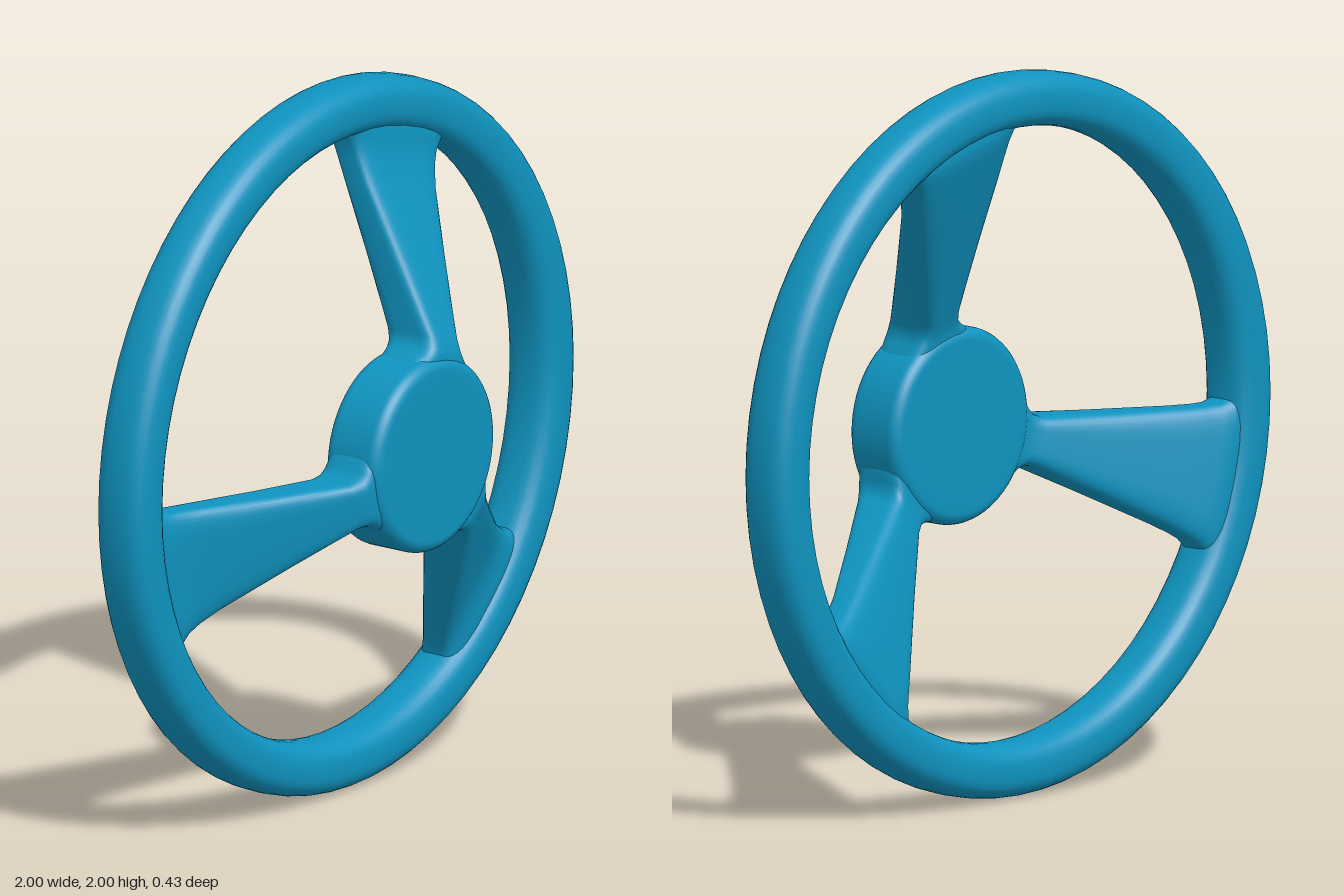
import * as THREE from 'three';

const material = new THREE.MeshStandardMaterial({ color: 0x0f93bf });

// Skin a list of equal-length closed loops of points with smooth normals
function loft(rings, closed) {
  const n = rings[0].length, m = rings.length, index = [];
  for (let i = 0; i < (closed ? m : m - 1); i++) {
    for (let j = 0; j < n; j++) {
      const a = i * n + j, b = ((i + 1) % m) * n + j;
      const c = ((i + 1) % m) * n + (j + 1) % n, d = i * n + (j + 1) % n;
      index.push(a, b, c, a, c, d);
    }
  }
  const geometry = new THREE.BufferGeometry();
  geometry.setAttribute('position', new THREE.Float32BufferAttribute(rings.flat(2), 3));
  geometry.setIndex(index);
  geometry.computeVertexNormals();
  return geometry;
}

// Rounded-square section: pairs within -1..1
function section(count, power) {
  return Array.from({ length: count }, (_, i) => {
    const a = (i / count) * Math.PI * 2;
    const f = v => Math.sign(v) * Math.abs(v) ** (2 / power);
    return [f(Math.cos(a)), f(Math.sin(a))];
  });
}

function rimGeometry() {
  const rings = [];
  for (let i = 0; i < 72; i++) {
    const a = (i / 72) * Math.PI * 2;
    rings.push(section(28, 2.7).map(([u, v]) => {
      const r = 0.923 + 0.075 * u;
      return [r * Math.cos(a), r * Math.sin(a), -0.132 + 0.083 * v];
    }));
  }
  return loft(rings, true);
}

// Spoke along +x: [radius, half width, front z, back z], flared at both ends
function spokeGeometry() {
  const stations = [
    [0.20, 0.150, 0.200, 0.040],
    [0.25, 0.112, 0.204, 0.036],
    [0.27, 0.090, 0.204, 0.034],
    [0.29, 0.074, 0.200, 0.028],
    [0.32, 0.070, 0.186, 0.016],
    [0.50, 0.113, 0.086, -0.060],
    [0.70, 0.163, -0.026, -0.144],
    [0.76, 0.179, -0.052, -0.168],
    [0.80, 0.192, -0.062, -0.184],
    [0.83, 0.212, -0.066, -0.195],
    [0.86, 0.242, -0.068, -0.198],
    [0.91, 0.250, -0.080, -0.190],
  ];
  return loft(stations.map(([r, w, front, back]) =>
    section(40, 4.5).map(([u, v]) =>
      [r, w * u, (front + back) / 2 - v * (front - back) / 2])), false);
}

// Disc with rounded edges
function hubGeometry() {
  const radius = 0.273, back = 0.03, front = 0.215, e = 0.035;
  const profile = [new THREE.Vector2(0, back), new THREE.Vector2(radius - 2 * e, back)];
  for (const [y, start] of [[back + e, -Math.PI / 2], [front - e, 0]]) {
    for (let i = 0; i <= 6; i++) {
      const a = start + (i / 6) * Math.PI / 2;
      profile.push(new THREE.Vector2(radius - e + e * Math.cos(a), y + e * Math.sin(a)));
    }
  }
  profile.push(new THREE.Vector2(radius - 2 * e, front), new THREE.Vector2(0, front));
  return new THREE.LatheGeometry(profile, 64).rotateX(Math.PI / 2);
}

export function createModel() {
  const model = new THREE.Group();
  model.name = 'steeringWheel';
  const add = (name, geometry) => {
    const mesh = new THREE.Mesh(geometry, material);
    mesh.name = name;
    mesh.position.y = 1;
    model.add(mesh);
    return mesh;
  };

  add('rim', rimGeometry());
  add('hub', hubGeometry());

  // Three spokes, evenly spaced
  const spoke = spokeGeometry();
  [['topSpoke', 75], ['rightSpoke', 195], ['leftSpoke', 315]].forEach(([name, degrees]) => {
    add(name, spoke).rotation.z = THREE.MathUtils.degToRad(degrees);
  });
  return model;
}
